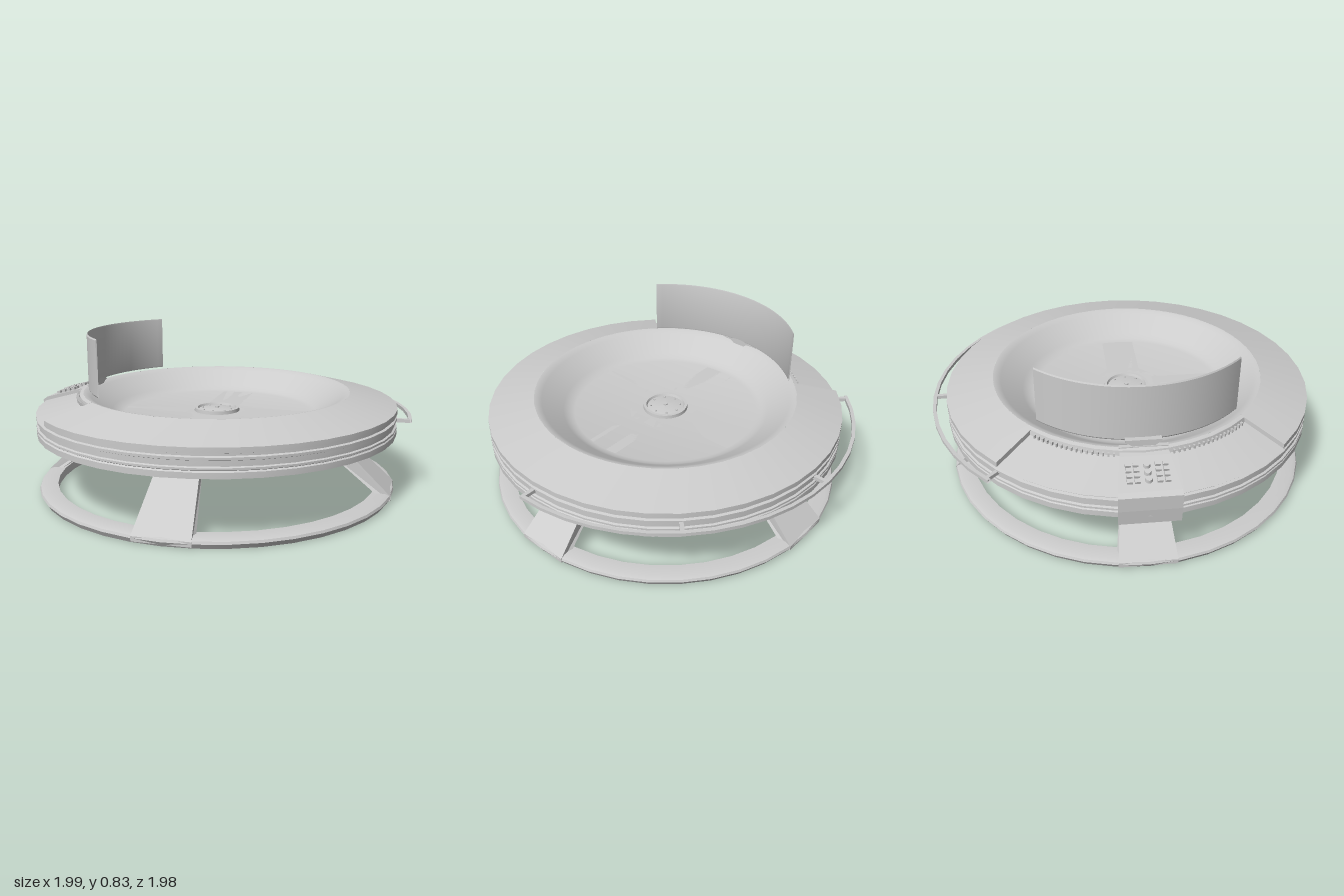
import * as THREE from 'three';
import { toCreasedNormals } from 'three/addons/utils/BufferGeometryUtils.js';

const PI = Math.PI;
const SECTOR = 1.25 * PI; // start of the quarter that carries the console
const mat = new THREE.MeshStandardMaterial({ color: 0xcccccc, side: THREE.DoubleSide });

function add(parent, name, geometry) {
  const mesh = new THREE.Mesh(geometry, mat);
  mesh.name = name;
  parent.add(mesh);
  return mesh;
}

// Revolve an [r, y] profile about the centre; angle 0 is +z, PI / 2 is +x
function revolve(points, segments = 40, start = 0, length = 2 * PI) {
  const g = new THREE.LatheGeometry(points.map(p => new THREE.Vector2(...p)), segments, start, length);
  return toCreasedNormals(g, 0.5);
}

// Side profile [r, y] thickened sideways, with a half width depending on r
function radialSlab(points, half) {
  const shape = new THREE.Shape(points.map(p => new THREE.Vector2(...p)));
  const g = new THREE.ExtrudeGeometry(shape, { depth: 2, bevelEnabled: false });
  g.translate(0, 0, -1);
  const p = g.attributes.position;
  for (let i = 0; i < p.count; i++) p.setZ(i, p.getZ(i) * half(p.getX(i)));
  g.computeVertexNormals();
  return g;
}

// Group whose +x axis points outward at the given angle
function spoke(parent, name, angle) {
  const g = new THREE.Group();
  g.name = name;
  g.rotation.y = angle - PI / 2;
  parent.add(g);
  return g;
}

function buildBase(root) {
  const base = new THREE.Group();
  base.name = 'base';
  root.add(base);
  add(base, 'floorRing', revolve([
    [0.86, 0], [0.94, 0], [0.955, 0.025], [0.95, 0.037], [0.93, 0.045], [0.86, 0.045], [0.86, 0]]));

  // Four arms that bend down into splayed legs
  const profile = [[0.15, 0.255], [0.59, 0.255], [0.87, 0.042], [0.88, 0.01],
    [0.945, 0.01], [0.945, 0.035], [0.64, 0.32], [0.555, 0.4], [0.15, 0.4]];
  const half = r => 0.09 + 0.05 * THREE.MathUtils.clamp((r - 0.59) / 0.28, 0, 1);
  for (let i = 0; i < 4; i++) add(spoke(base, 'leg', i * PI / 2), 'legArm', radialSlab(profile, half));

  // Octagonal hub with an open middle
  add(base, 'hub', revolve(
    [[0.15, 0.255], [0.21, 0.255], [0.21, 0.4], [0.15, 0.4], [0.15, 0.255]], 8, PI / 8));
}

function buildTable(root) {
  const table = new THREE.Group();
  table.name = 'tabletop';
  root.add(table);

  // Sunken bowl, open from below
  add(table, 'bowl', revolve([[0.71, 0.52], [0.695, 0.517], [0.67, 0.503], [0.56, 0.425],
    [0.53, 0.407], [0.5, 0.4], [0, 0.4]], 60));

  // Sloping rim over three quarters of the circle
  add(table, 'rim', revolve([[0.71, 0.52], [0.955, 0.458], [0.955, 0.432]], 30, SECTOR + PI / 2, 1.5 * PI));

  // Grooved side wall
  add(table, 'sideWall', revolve([[0.955, 0.432], [0.942, 0.428], [0.942, 0.418], [0.955, 0.414],
    [0.955, 0.402], [0.945, 0.398], [0.945, 0.372], [0.955, 0.368], [0.955, 0.358],
    [0.948, 0.354], [0.955, 0.348], [0.955, 0.32], [0.94, 0.32]]));

  // Projector plate in the middle of the bowl
  add(table, 'projector', revolve([[0.122, 0.4], [0.12, 0.418], [0.105, 0.418], [0.1, 0.406],
    [0.06, 0.412], [0.012, 0.415], [0.012, 0.422], [0, 0.422]], 32));
  for (let i = 0; i < 8; i++) {
    const stud = add(spoke(table, 'projectorStud', i * PI / 4), 'stud',
      new THREE.CylinderGeometry(0.005, 0.005, 0.008, 8));
    stud.position.set(0.08, 0.411, 0);
  }
}

function buildConsole(root) {
  const console_ = new THREE.Group();
  console_.name = 'console';
  root.add(console_);

  // Lowered quarter of the rim with an inner lip, and the steps at its ends
  add(console_, 'consoleRim', revolve(
    [[0.71, 0.52], [0.73, 0.515], [0.735, 0.49], [0.955, 0.432]], 10, SECTOR, PI / 2));
  for (const a of [SECTOR, SECTOR + PI / 2]) {
    add(spoke(console_, 'consoleStep', a), 'step', radialSlab(
      [[0.71, 0.52], [0.953, 0.458], [0.953, 0.43], [0.71, 0.485]], () => 0.003));
  }

  // Row of vents along the lip
  for (let i = 0; i < 44; i++) {
    const a = SECTOR + 0.05 + i * (PI / 2 - 0.1) / 43;
    if (Math.abs(a - 1.5 * PI) < 0.18) continue;
    const vent = add(spoke(console_, 'vent', a), 'ventFin', new THREE.BoxGeometry(0.012, 0.018, 0.009));
    vent.position.set(0.739, 0.498, 0);
  }

  // Control panel with a flap hanging over the side
  const panel = spoke(console_, 'controlPanel', 1.5 * PI);
  add(panel, 'panelBody', radialSlab([[0.7, 0.49], [0.715, 0.508], [0.75, 0.502], [0.94, 0.452],
    [0.96, 0.435], [0.958, 0.36], [0.95, 0.28], [0.943, 0.28], [0.943, 0.41], [0.7, 0.47]],
    r => 0.11 + 0.035 * (r - 0.7) / 0.26));

  // Keys and dials on the sloping face
  const face = new THREE.Group();
  face.name = 'controls';
  face.position.set(0.845, 0.478, 0);
  face.rotation.z = -0.257;
  panel.add(face);
  for (const side of [-1, 1]) {
    for (let i = 0; i < 4; i++) {
      for (let j = 0; j < 2; j++) {
        add(face, 'key', new THREE.BoxGeometry(0.02, 0.014, 0.026))
          .position.set(-0.045 + i * 0.03, 0.005, side * (0.05 + j * 0.035));
      }
    }
  }
  for (const x of [-0.04, 0, 0.04]) {
    add(face, 'dial', new THREE.CylinderGeometry(0.014, 0.018, 0.018, 16)).position.set(x, 0.006, 0);
  }
}

function buildScreen(root) {
  // Curved upright screen
  const screen = new THREE.Group();
  screen.name = 'screen';
  root.add(screen);
  const arc = 1.58;
  add(screen, 'screenPanel', revolve([[0.675, 0.545], [0.675, 0.825], [0.677, 0.832], [0.681, 0.825],
    [0.681, 0.545], [0.677, 0.538], [0.675, 0.545]], 32, 1.5 * PI - arc / 2, arc));

  // Tapered foot that carries it on the lip
  const foot = new THREE.Shape([[-0.035, 0.51], [0.035, 0.51], [0.085, 0.545], [0.085, 0.555],
    [-0.085, 0.555], [-0.085, 0.545]].map(p => new THREE.Vector2(...p)));
  const g = new THREE.ExtrudeGeometry(foot, { depth: 0.03, bevelEnabled: false });
  g.rotateY(PI / 2);
  add(screen, 'screenFoot', g).position.x = -0.705;
  add(screen, 'footPlate', new THREE.BoxGeometry(0.02, 0.012, 0.23)).position.set(-0.7, 0.517, 0);
}

function buildRail(root) {
  // Handrail around the back, on four brackets
  const rail = new THREE.Group();
  rail.name = 'handrail';
  root.add(rail);
  add(rail, 'railBar', revolve([[1.012, 0.392], [1.03, 0.392], [1.03, 0.41], [1.012, 0.41],
    [1.012, 0.392]], 18, PI / 2 - 0.01, 0.75 * PI + 0.03));
  for (const a of [0.5, 0.75, 1, 1.25]) {
    add(spoke(rail, 'railBracket', a * PI), 'bracket', new THREE.BoxGeometry(0.08, 0.018, 0.02))
      .position.set(0.98, 0.401, 0);
  }
}

export function createModel() {
  const model = new THREE.Group();
  model.name = 'displayTable';
  const root = new THREE.Group();
  root.name = 'table';
  root.position.set(-0.04, 0, 0.037);
  model.add(root);
  buildBase(root);
  buildTable(root);
  buildConsole(root);
  buildScreen(root);
  buildRail(root);
  return model;
}
